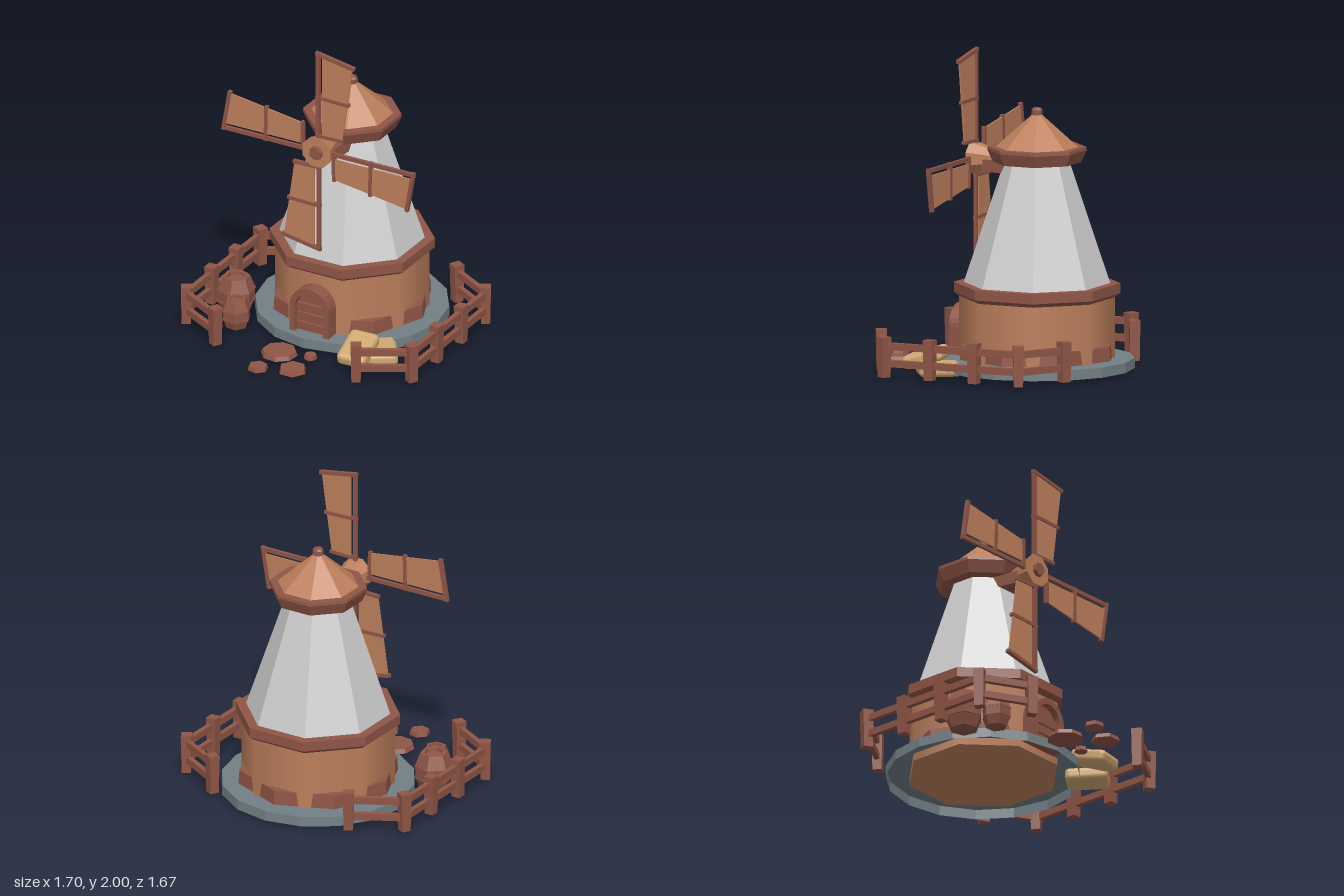
import * as THREE from 'three';
import { RoundedBoxGeometry } from 'three/addons/geometries/RoundedBoxGeometry.js';

const mat = (color, flatShading = true, side = THREE.FrontSide) =>
  new THREE.MeshStandardMaterial({ color, flatShading, side });
const DARK = mat(0x8f5546), LIGHT = mat(0xbd7f5c), LIGHT_SMOOTH = mat(0xbd7f5c, false);
const PLASTER = mat(0xcccccc), STRAW = mat(0xcfa871, false);
const STONE = mat(0x717f84, true, THREE.DoubleSide);

function add(parent, name, geometry, material, x = 0, y = 0, z = 0) {
  const mesh = new THREE.Mesh(geometry, material);
  mesh.name = name;
  mesh.position.set(x, y, z);
  parent.add(mesh);
  return mesh;
}

function group(parent, name, x = 0, y = 0, z = 0) {
  const g = new THREE.Group();
  g.name = name;
  g.position.set(x, y, z);
  parent.add(g);
  return g;
}

// Octagonal frustum with flat sides on the axes; radii measured to the flats
function octagon(bottom, top, y0, y1) {
  const k = Math.cos(Math.PI / 8);
  return new THREE.CylinderGeometry(top / k, bottom / k, y1 - y0, 8)
    .rotateY(Math.PI / 8).translate(0, (y0 + y1) / 2, 0);
}

// Adds an arched outline (straight jambs and a half circle) to a shape or path
function arch(path, r, y0, spring) {
  path.moveTo(-r, y0);
  path.lineTo(r, y0);
  path.lineTo(r, spring);
  path.absarc(0, spring, r, 0, Math.PI, false);
  path.lineTo(-r, y0);
  return path;
}

function extrude(shape, depth) {
  return new THREE.ExtrudeGeometry(shape, { depth, bevelEnabled: false, curveSegments: 8 });
}

function polygon(points) {
  return new THREE.Shape(points.map(p => new THREE.Vector2(...p)));
}

function buildMill(root) {
  const mill = group(root, 'mill', 0, 0, -0.23);
  const baseProfile = [[0.61, 0.022], [0.607, 0.085], [0.44, 0.088]].map(p => new THREE.Vector2(...p));
  add(mill, 'stoneBase', new THREE.LatheGeometry(baseProfile, 16), STONE);
  // The drum's corners poke through the skirt's flats
  add(mill, 'skirtBoard', new THREE.CylinderGeometry(0.5, 0.506, 0.09, 8), DARK, 0, 0.135);
  add(mill, 'woodenDrum', octagon(0.447, 0.447, 0.04, 0.49), LIGHT_SMOOTH);
  add(mill, 'galleryRing', octagon(0.447, 0.478, 0.465, 0.49), DARK);
  add(mill, 'galleryRim', octagon(0.478, 0.478, 0.49, 0.553), DARK);
  add(mill, 'tower', octagon(0.421, 0.175, 0.55, 1.35), PLASTER);
  add(mill, 'eavesRing', octagon(0.255, 0.286, 1.31, 1.385), DARK);
  add(mill, 'eavesRim', octagon(0.286, 0.284, 1.385, 1.405), DARK);
  add(mill, 'roofCone', octagon(0.238, 0.022, 1.403, 1.612), LIGHT);
  add(mill, 'roofKnob', octagon(0.032, 0.032, 1.605, 1.635), DARK);
  add(mill, 'roofKnobCap', octagon(0.032, 0.024, 1.635, 1.648), DARK);
}

function buildDoor(root) {
  const door = group(root, 'door');
  const frame = arch(new THREE.Shape(), 0.14, 0.085, 0.257);
  frame.holes.push(arch(new THREE.Path(), 0.102, 0.086, 0.257));
  add(door, 'doorFrame', extrude(frame, 0.16), DARK, 0, 0, 0.15);
  add(door, 'doorLeaf', extrude(arch(new THREE.Shape(), 0.104, 0.087, 0.257), 0.115), DARK, 0, 0, 0.15);
  for (const y of [0.12, 0.185, 0.25])
    add(door, 'doorPlank', new THREE.BoxGeometry(0.2, 0.054, 0.03), DARK, 0, y, 0.272);
}

function buildSails(root) {
  const sails = group(root, 'sails', 0, 1.31, 0.19);
  // Axle support under the eaves, narrowing towards the hub
  const bracket = polygon([[-0.07, 0.07], [0.07, 0.07], [0.1, 0.26], [-0.1, 0.26]]);
  add(sails, 'axleBracket', extrude(bracket, 0.075).rotateX(-Math.PI / 2), DARK, 0, -0.075, 0);
  // Tapered octagonal hub with a front boss
  add(sails, 'hub', octagon(0.045, 0.1, -0.17, 0.025).rotateX(Math.PI / 2), LIGHT);
  add(sails, 'hubBoss', octagon(0.045, 0.04, 0.02, 0.046).rotateX(Math.PI / 2), DARK);

  const bar = (points, depth) => extrude(polygon(points), depth).translate(0, 0, -depth / 2);
  const spar = bar([[-0.016, 0.09], [0.01, 0.09], [0.01, 0.69], [-0.016, 0.69]], 0.02);
  const outerBar = bar([[-0.018, 0.668], [0.256, 0.62], [0.26, 0.643], [-0.018, 0.691]], 0.026);
  const middleBar = bar([[-0.018, 0.366], [0.22, 0.36], [0.22, 0.381], [-0.018, 0.387]], 0.026);
  const innerBar = bar([[-0.018, 0.098], [0.18, 0.103], [0.18, 0.123], [-0.018, 0.119]], 0.026);
  const panel = bar([[0.028, 0.112], [0.17, 0.112], [0.244, 0.632], [0.028, 0.67]], 0.01);
  for (let i = 0; i < 4; i++) {
    const sail = group(sails, 'sail');
    sail.rotation.z = i * Math.PI / 2;
    add(sail, 'sailSpar', spar, DARK);
    add(sail, 'sailOuterBar', outerBar, DARK);
    add(sail, 'sailMiddleBar', middleBar, DARK);
    add(sail, 'sailInnerBar', innerBar, DARK);
    add(sail, 'sailPanel', panel, LIGHT);
  }
}

function buildFence(root, side) {
  const fence = group(root, side > 0 ? 'leftFence' : 'rightFence');
  const post = new THREE.CylinderGeometry(0.048, 0.041, 0.252, 4).rotateY(Math.PI / 4);
  // x, z and turn of each post
  const posts = [[0.503, -0.66, 1.05], [0.805, -0.49, 0.5], [0.805, -0.185, 0],
    [0.805, 0.12, 0], [0.805, 0.435, -0.5], [0.503, 0.6, -1.05]];
  posts.forEach(([x, z, turn], i) => {
    add(fence, 'fencePost', post, DARK, side * x, 0.149, z).rotation.y = side * turn;
    if (!i) return;
    const [px, pz] = posts[i - 1];
    const dx = side * (x - px), dz = z - pz;
    for (const y of [0.112, 0.22]) {
      const rail = add(fence, 'fenceRail', new THREE.BoxGeometry(0.032, 0.044, Math.hypot(dx, dz)), DARK,
        side * (x + px) / 2, y, (z + pz) / 2);
      rail.rotation.y = Math.atan2(dx, dz);
    }
  });
}

function buildBarrel(root, x, z, r, h, turn) {
  const barrel = group(root, 'barrel', x, 0.022, z);
  barrel.rotation.y = turn;
  const lathe = pts => new THREE.LatheGeometry(pts.map(([a, b]) => new THREE.Vector2(a * r, b * h)), 6);
  // Bulging staves with a sunken lid
  add(barrel, 'barrelBody', lathe([[0, 0], [0.72, 0], [0.95, 0.3], [0.97, 0.65], [0.7, 1],
    [0.5, 1], [0.48, 0.92], [0, 0.92]]), DARK);
  for (const y of [0.3, 0.6])
    add(barrel, 'barrelHoop', lathe([[0.9, y], [1, y], [1, y + 0.05], [0.9, y + 0.05]]), DARK);
}

export function createModel() {
  const root = new THREE.Group();
  root.name = 'windmill';
  buildMill(root);
  buildDoor(root);
  buildSails(root);
  for (const side of [1, -1]) buildFence(root, side);
  buildBarrel(root, -0.615, 0.143, 0.123, 0.245, 0.2);
  buildBarrel(root, -0.512, 0.322, 0.093, 0.19, 0.42);

  // Sacks, one leaning on the other
  const sack = new RoundedBoxGeometry(0.193, 0.086, 0.268, 3, 0.032);
  const lower = add(root, 'lowerSack', sack, STRAW, 0.468, 0.045, 0.22);
  lower.rotation.y = 0.59;
  const upper = add(root, 'upperSack', sack, STRAW, 0.377, 0.1, 0.354);
  upper.rotation.set(0.3, 0.1, -0.08);

  // Stepping stones: x, z, radius, sides, turn
  for (const [x, z, r, n, turn] of [[-0.09, 0.522, 0.117, 8, 0.3], [0.108, 0.478, 0.042, 7, 0],
    [0.098, 0.685, 0.092, 6, 0.5], [-0.103, 0.768, 0.066, 6, 0.3]]) {
    const stone = add(root, 'steppingStone', new THREE.CylinderGeometry(r * 0.9, r, 0.028, n), DARK, x, 0.037, z);
    stone.rotation.y = turn;
  }
  return root;
}
